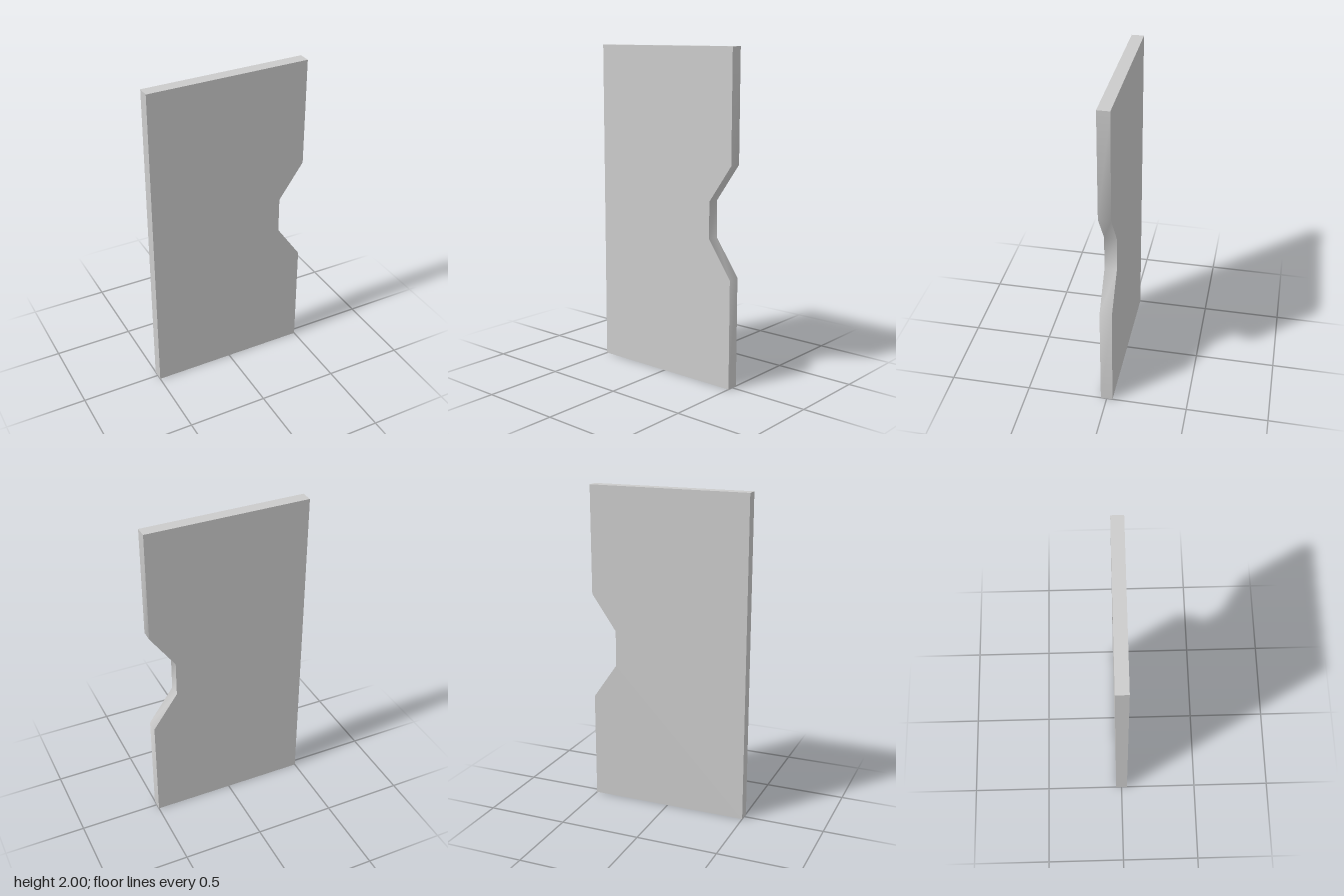
import * as THREE from 'three';
import { toCreasedNormals } from 'three/addons/utils/BufferGeometryUtils.js';

export function createModel() {
  const group = new THREE.Group();
  const width = 1, height = 2, depth = 0.074;
  const notch = { depth: 0.155, outer: 0.333, inner: 0.111 };
  const mid = height / 2, right = width / 2;

  // Panel outline with a tapered notch in the +x edge
  const outline = new THREE.Shape([
    [-right, 0],
    [right, 0],
    [right, mid - notch.outer],
    [right - notch.depth, mid - notch.inner],
    [right - notch.depth, mid + notch.inner],
    [right, mid + notch.outer],
    [right, height],
    [-right, height],
  ].map(([x, y]) => new THREE.Vector2(x, y)));

  const slab = new THREE.ExtrudeGeometry(outline, { depth, bevelEnabled: false });
  slab.translate(0, 0, -depth / 2);

  // Soft shading through the notch bends, sharp at the square corners
  const panel = new THREE.Mesh(
    toCreasedNormals(slab, Math.PI / 4),
    new THREE.MeshStandardMaterial({ color: 0xcccccc }),
  );
  panel.name = 'notchedPanel';
  group.add(panel);
  return group;
}
